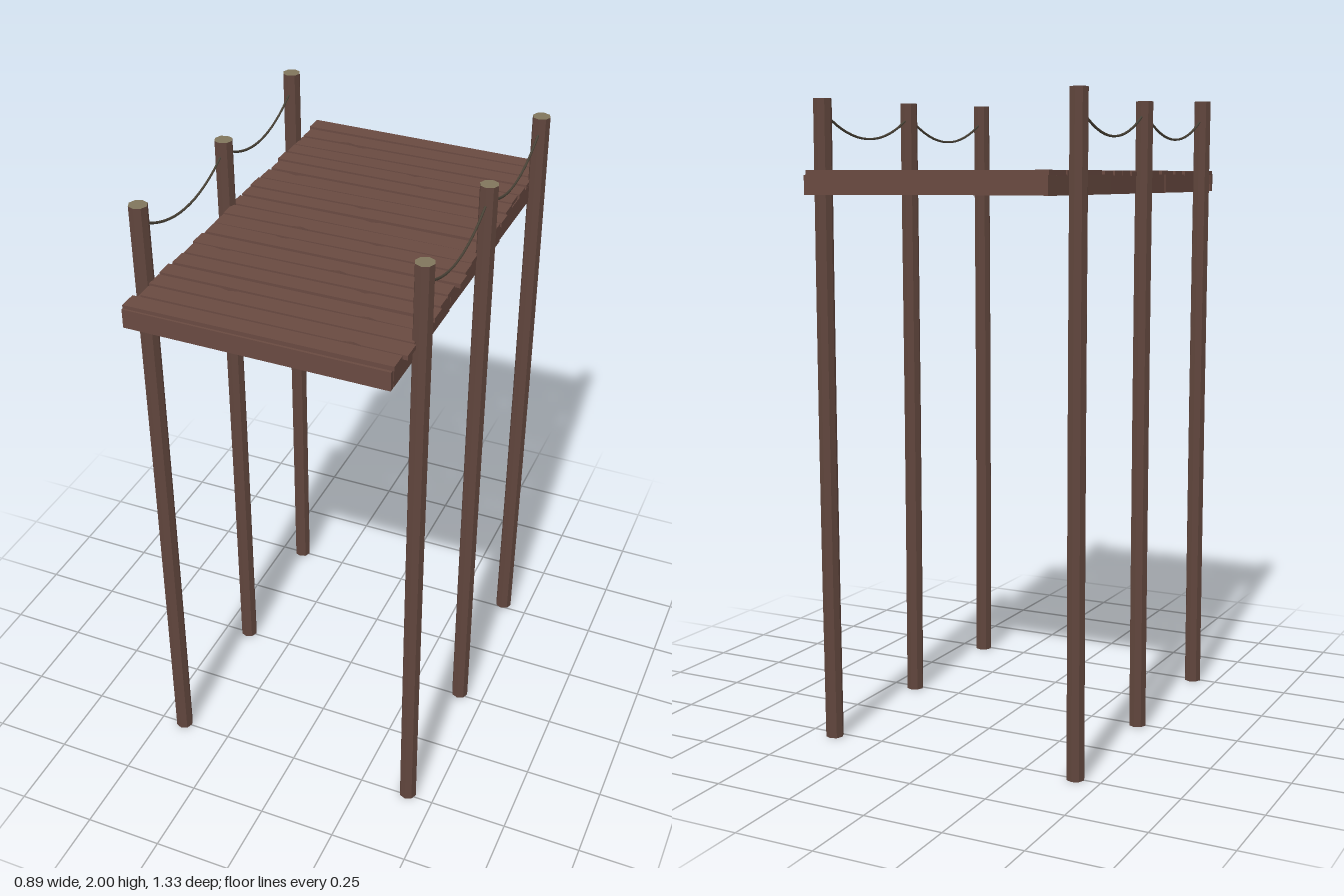
import * as THREE from 'three';

const mat = (name, color, side = THREE.FrontSide) => {
  const m = new THREE.MeshStandardMaterial({ color, side });
  m.name = name;
  return m;
};

export function createModel() {
  const root = new THREE.Group();
  root.name = 'raisedDeck';
  const plankWood = mat('plank brown', 0x694a41);
  const postWood = mat('post brown', 0x61463d);
  const cutWood = mat('cut wood tan', 0x80765c);
  const ropeMat = mat('rope grey brown', 0x4b4438);

  const add = (name, geo, material, x = 0, y = 0, z = 0) => {
    const m = new THREE.Mesh(geo, material);
    m.name = name;
    m.position.set(x, y, z);
    root.add(m);
    return m;
  };

  // Small repeatable wobble for hand-cut timber
  let seed = 7;
  const wobble = (amount) => {
    seed = (seed * 16807) % 2147483647;
    return (seed / 2147483647 - 0.5) * 2 * amount;
  };

  // Planks: left end, right end, skew in z, chip position, chip side (+1 front, -1 back)
  const planks = [
    [-0.407, 0.385, 0.008], [-0.397, 0.386, 0, -0.24, 1], [-0.397, 0.392, -0.003, -0.19, -1],
    [-0.397, 0.392, 0.002], [-0.4, 0.389, 0.003, 0.05, -1], [-0.39, 0.392, 0.002, 0.11, -1],
    [-0.397, 0.399, 0.003, -0.3, -1], [-0.4, 0.397, -0.002], [-0.397, 0.396, -0.002, -0.02, -1],
    [-0.4, 0.386, 0.004, 0.04, -1], [-0.393, 0.397, 0, -0.14, 1], [-0.39, 0.4, -0.005, 0.11, -1],
    [-0.387, 0.41, 0.002, -0.16, -1], [-0.393, 0.397, -0.002, 0.07, 1], [-0.383, 0.4, 0.002, -0.29, -1],
    [-0.39, 0.407, -0.002, 0.18, -1], [-0.397, 0.4, 0.001, 0.24, 1], [-0.393, 0.4, -0.003, -0.17, -1],
    [-0.383, 0.407, 0.002, 0.25, 1], [-0.4, 0.396, -0.002],
  ];
  const half = 0.0285, deckTop = 1.772;
  planks.forEach(([left, right, skew, chip, side], i) => {
    const edge = (x, s) => s * half + skew * x / 0.8;
    const row = (s) => {
      const pts = [[left, edge(left, s) + wobble(0.003)]];
      if (side === s) {
        pts.push([chip - 0.03, edge(chip, s)], [chip, edge(chip, s) - s * 0.007], [chip + 0.025, edge(chip, s)]);
      }
      pts.push([right, edge(right, s) + wobble(0.003)]);
      return pts;
    };
    const outline = [...row(-1), ...row(1).reverse()].map(([x, z]) => new THREE.Vector2(x, z));
    const geo = new THREE.ExtrudeGeometry(new THREE.Shape(outline), { depth: 0.014, bevelEnabled: false });
    geo.rotateX(Math.PI / 2);
    add('plank', geo, plankWood, 0, deckTop + wobble(0.002), -0.6315 + i * 0.0659);
  });

  // Frame under the planks: cross beams, then side beams in three lengths
  const beam = (name, w, d, x, z) => add(name, new THREE.BoxGeometry(w, 0.058, d), plankWood, x, 1.732, z);
  for (const z of [-0.648, 0, 0.65]) {
    beam('crossBeam', 0.79, 0.017, -0.005, z).rotation.z = -0.005;
  }
  for (const x of [-0.389, 0.385]) {
    for (const [z, length] of [[0.432, 0.42], [-0.002, 0.43], [-0.434, 0.42]]) {
      beam('sideBeam', 0.014, length, x, z).rotation.y = wobble(0.008);
    }
  }

  // Posts: x, z, height
  const sides = [
    [[-0.42, -0.502, 2], [-0.413, -0.004, 1.98], [-0.418, 0.497, 2]],
    [[0.41, -0.522, 1.985], [0.415, -0.012, 1.99], [0.412, 0.49, 2]],
  ];
  for (const posts of sides) {
    for (const [x, z, h] of posts) {
      const geo = new THREE.CylinderGeometry(0.028, 0.028, h, 8, 4);
      // Gentle bow along the trunk
      const p = geo.attributes.position;
      const bx = wobble(0.003), bz = wobble(0.003);
      for (let i = 0; i < p.count; i++) {
        const bow = Math.cos(p.getY(i) / h * Math.PI);
        p.setX(i, p.getX(i) + bx * bow);
        p.setZ(i, p.getZ(i) + bz * bow);
      }
      const flat = geo.toNonIndexed();
      flat.computeVertexNormals();
      add('post', flat, [postWood, cutWood, cutWood], x, h / 2, z);
    }
    // Sagging rope between neighbouring posts
    for (let i = 0; i < 2; i++) {
      const [a, b] = [posts[i], posts[i + 1]];
      const pts = [];
      for (let k = 0; k <= 8; k++) {
        const t = k / 8;
        pts.push(new THREE.Vector3(
          THREE.MathUtils.lerp(a[0], b[0], t),
          1.938 - 0.27 * t * (1 - t),
          THREE.MathUtils.lerp(a[1] + 0.015, b[1] - 0.015, t)));
      }
      add('rope', new THREE.TubeGeometry(new THREE.CatmullRomCurve3(pts), 16, 0.0038, 6), ropeMat);
    }
  }
  return root;
}
